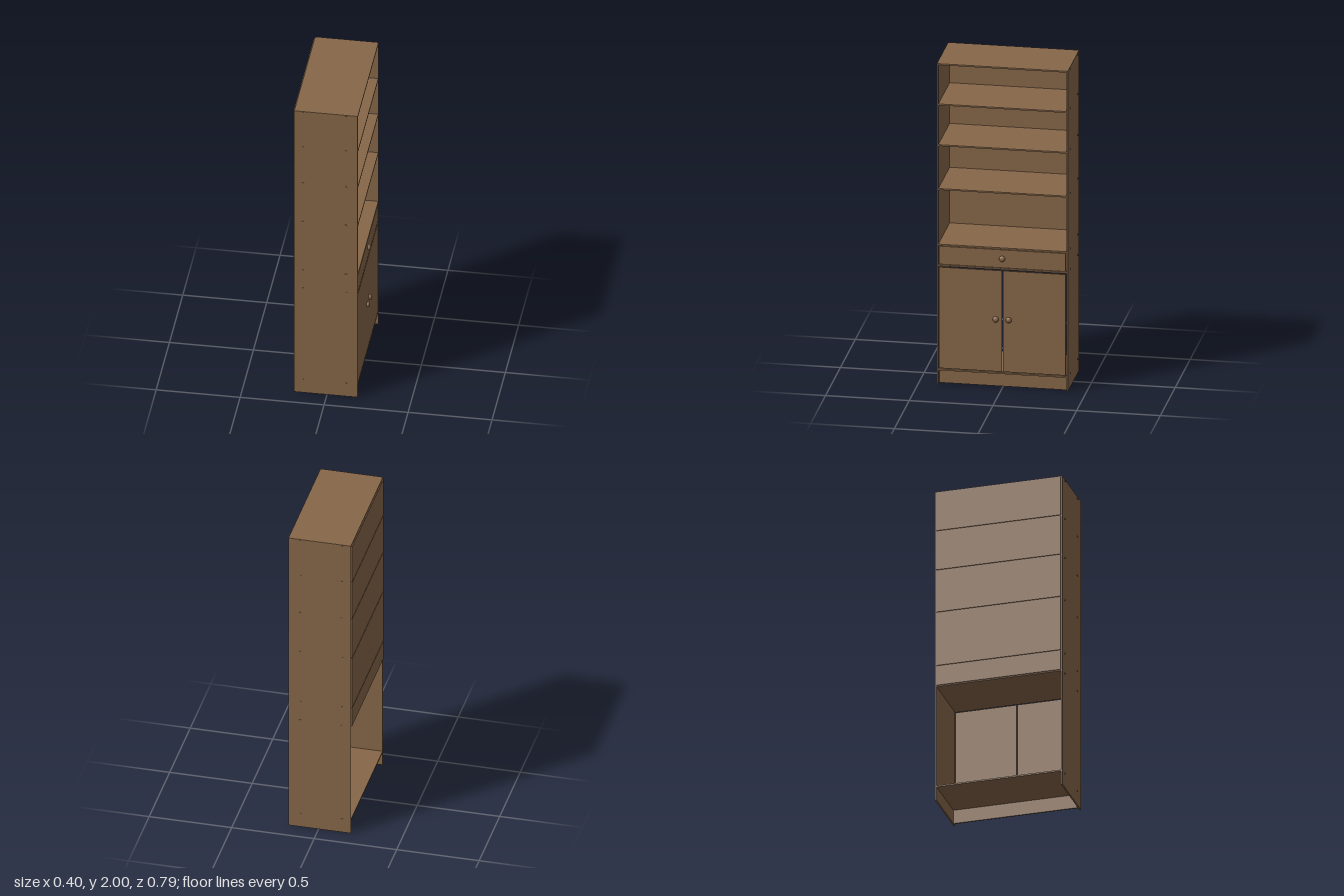
import * as THREE from 'three';

export function createModel() {
  const model = new THREE.Group();
  model.name = 'bookcase';
  const wood = new THREE.MeshStandardMaterial({ color: 0x876749 });
  wood.name = 'brown wood';

  const T = 0.009;            // board thickness
  const BACK = -0.195, FRONT = 0.183;
  const INNER = 0.382;        // half of the clear width

  const add = (name, geometry, x, y, z) => {
    const mesh = new THREE.Mesh(geometry, wood);
    mesh.name = name;
    mesh.position.set(x, y, z);
    model.add(mesh);
    return mesh;
  };
  // board given by its limits on each axis
  const board = (name, x0, x1, y0, y1, z0, z1) =>
    add(name, new THREE.BoxGeometry(x1 - x0, y1 - y0, z1 - z0),
      (x0 + x1) / 2, (y0 + y1) / 2, (z0 + z1) / 2);

  // shelf centre heights, bottom to top
  const levels = [0.09, 0.741, 0.869, 1.216, 1.49, 1.744, 1.9955];
  const names = ['cabinetFloor', 'drawerFloor', 'drawerCover', 'lowerShelf', 'middleShelf', 'upperShelf', 'topBoard'];
  levels.forEach((y, i) => board(names[i], BACK, FRONT, y - T / 2, y + T / 2, -INNER, INNER));

  // back panels, the cabinet behind the doors stays open
  for (let i = 1; i < levels.length - 1; i++) {
    board('backPanel', -0.201, BACK, levels[i] + 0.002, levels[i + 1] - 0.003, -INNER, INNER);
  }

  // side panels with screw heads at each shelf
  const screwGeometry = new THREE.CylinderGeometry(0.006, 0.006, 0.004, 12).rotateX(Math.PI / 2);
  for (const s of [1, -1]) {
    const z = s * (INNER + T / 2);
    board('sidePanel', BACK, FRONT, 0, 2, z - T / 2, z + T / 2);
    for (const y of levels) {
      for (const x of [-0.142, 0.112]) {
        add('screwHead', screwGeometry, x, Math.min(y, 1.99), s * (INNER + T + 0.0005));
      }
    }
  }

  // recessed plinth
  board('plinth', 0.146, 0.155, 0, levels[0] - T / 2, -INNER, INNER);

  // drawer front and the two doors, with narrow gaps around them
  board('drawerFront', FRONT - T, FRONT, 0.749, 0.861, -0.378, 0.378);
  for (const s of [1, -1]) {
    const z = s * 0.1905;
    board('door', FRONT - T, FRONT, 0.1, 0.73, z - 0.1875, z + 0.1875);
  }

  // flattened round knobs
  const knobGeometry = new THREE.SphereGeometry(0.018, 20, 14).scale(0.68, 1, 1);
  add('drawerKnob', knobGeometry, 0.189, 0.806, 0);
  for (const s of [1, -1]) add('doorKnob', knobGeometry, 0.189, 0.426, s * 0.039);

  return model;
}
